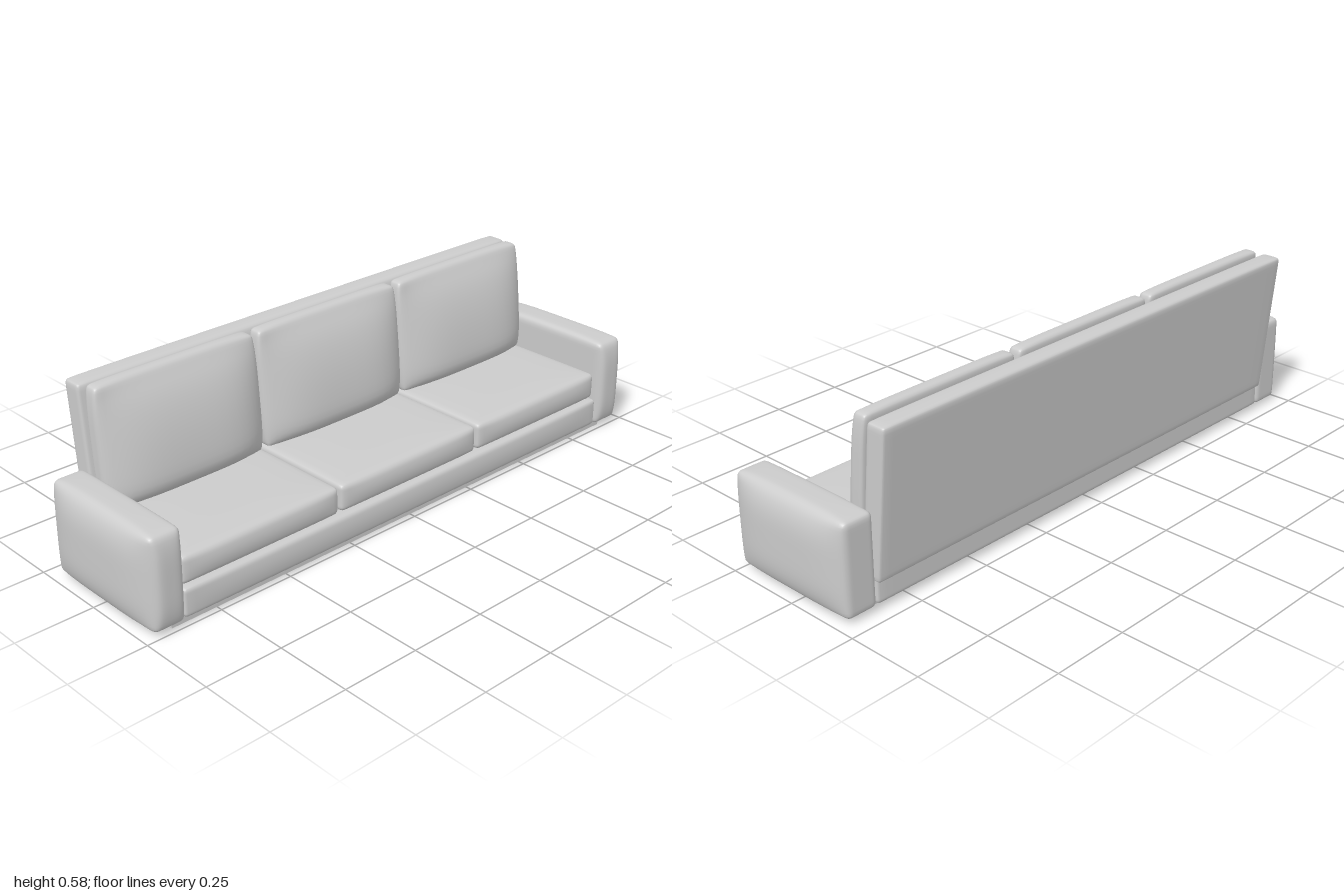
import * as THREE from 'three';
import { mergeVertices } from 'three/addons/utils/BufferGeometryUtils.js';

const material = new THREE.MeshStandardMaterial({ color: 0xcccccc });

// Upholstered block: rounded box spanning min..max, then pushed out of shape by
// deform(p, a, b, c), where a, b, c run from -1 to 1 across x, y and z.
function padded(name, min, max, radius, deform = () => {}) {
  const N = 22;
  const geo = new THREE.BoxGeometry(2, 2, 2, N, N, N);
  geo.deleteAttribute('uv');
  geo.deleteAttribute('normal');
  const lo = new THREE.Vector3(...min), hi = new THREE.Vector3(...max);
  const half = hi.clone().sub(lo).multiplyScalar(0.5);
  const centre = hi.clone().add(lo).multiplyScalar(0.5);
  const inner = half.clone().subScalar(radius);
  const p = new THREE.Vector3(), core = new THREE.Vector3();
  const pos = geo.attributes.position;
  for (let i = 0; i < pos.count; i++) {
    p.fromBufferAttribute(pos, i);
    // crowd the grid towards the edges, where the rounding is
    for (const k of ['x', 'y', 'z']) p[k] = Math.sin(p[k] * Math.PI / 2) * half[k];
    core.copy(p).clamp(inner.clone().negate(), inner);
    p.sub(core).setLength(radius).add(core);
    const a = p.x / half.x, b = p.y / half.y, c = p.z / half.z;
    p.add(centre);
    deform(p, a, b, c);
    pos.setXYZ(i, p.x, p.y, p.z);
  }
  const merged = mergeVertices(geo, 1e-5);
  merged.computeVertexNormals();
  const mesh = new THREE.Mesh(merged, material);
  mesh.name = name;
  return mesh;
}

// Flat in the middle, falling to zero at both ends
const dome = (t, power = 2) => 1 - Math.abs(t) ** power;
// 0 on the low side, 1 on the high side
const rise = (t) => (t + 1) / 2;

export function createModel() {
  const sofa = new THREE.Group();
  sofa.name = 'sofa';

  // Plinth under everything
  const plinth = new THREE.Mesh(new THREE.BoxGeometry(0.4, 0.04, 1.81), material);
  plinth.name = 'plinth';
  plinth.position.set(0.03, 0.02, 0);
  sofa.add(plinth);

  // Seat base, with a slightly swollen front
  sofa.add(padded('seatBase', [-0.205, 0.018, -0.867], [0.245, 0.112, 0.867], 0.014,
    (p, a, b, c) => { p.x += 0.007 * rise(a) * dome(b) * dome(c, 8); }));

  // Armrests, swollen on the outside, front and top
  for (const side of [1, -1]) {
    const z = [0.867 * side, 0.972 * side].sort((m, n) => m - n);
    sofa.add(padded(side > 0 ? 'leftEndArm' : 'rightEndArm',
      [-0.205, 0.015, z[0]], [0.246, 0.309, z[1]], 0.018,
      (p, a, b, c) => {
        p.z += side * 0.028 * rise(c * side) * dome(a, 4) * dome(b, 4);
        p.x += 0.016 * rise(a) * dome(b, 4) * dome(c, 4);
        p.y += 0.007 * rise(b) * dome(a, 4) * dome(c, 4);
      }));
  }

  // Leaning backrest panel
  sofa.add(padded('backrest', [-0.24, 0.088, -0.87], [-0.17, 0.566, 0.87], 0.014,
    (p, a, b, c) => {
      p.x += 0.012 * rise(a) * dome(b, 4) * dome(c, 8) - 0.1 * (p.y - 0.33);
      p.y += 0.004 * rise(b) * dome(a) * dome(c, 8);
    }));

  // Three seat cushions and three back cushions
  for (let i = -1; i <= 1; i++) {
    const z = i * 0.579, w = 0.285;
    sofa.add(padded('seatCushion', [-0.17, 0.114, z - w], [0.232, 0.203, z + w], 0.016,
      (p, a, b, c) => {
        p.x += 0.01 * rise(a) * dome(b) * dome(c, 6);
        p.y += 0.006 * rise(b) * dome(a, 4) * dome(c, 4);
      }));
    sofa.add(padded('backCushion', [-0.165, 0.2, z - w + 0.007], [-0.115, 0.571, z + w - 0.007], 0.014,
      (p, a, b, c) => {
        // belly fullest low down, thinning towards the top
        p.x += 0.064 * rise(a) * (1 - rise(b) ** 3) * dome(b, 8) * dome(c, 4);
        p.z += 0.009 * c * dome(b, 4);
        p.y += 0.006 * rise(b) * dome(a) * dome(c, 6);
        p.x -= 0.08 * (p.y - 0.39);
      }));
  }
  return sofa;
}
